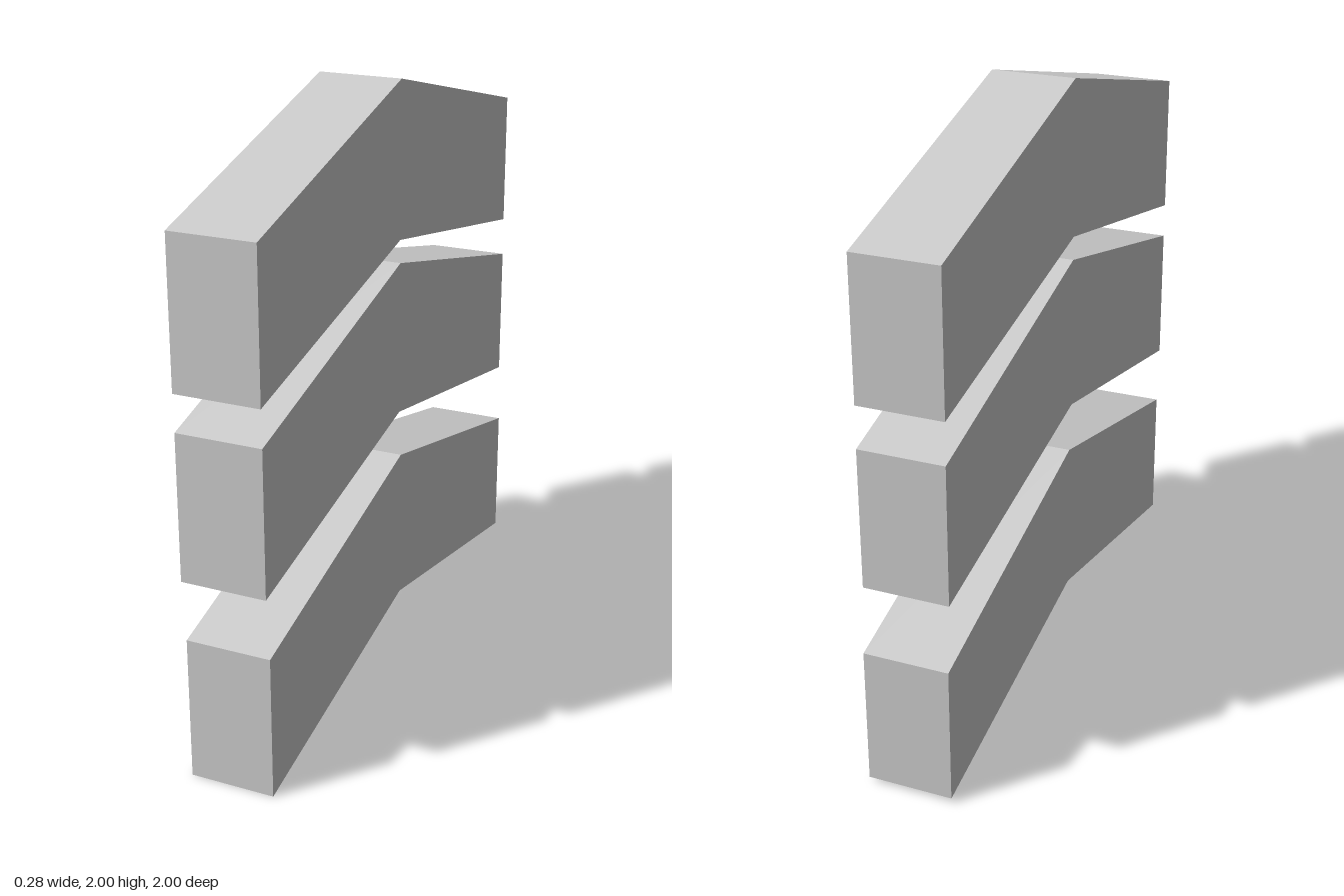
import * as THREE from 'three';

const X_MIN = -0.143, X_MAX = 0.135;

// Bent bar: side profile drawn in (z, y), extruded across x
function chevron(name, z, y) {
  const shape = new THREE.Shape([
    [z, y],
    [z - 0.98, y + 0.211],
    [z - 1.98, y + 0.016],
    [z - 1.98, y + 0.474],
    [z - 0.98, y + 0.727],
    [z, y + 0.474],
  ].map(([a, b]) => new THREE.Vector2(a, b)));
  const geometry = new THREE.ExtrudeGeometry(shape, { depth: X_MAX - X_MIN, bevelEnabled: false });
  geometry.rotateY(-Math.PI / 2);
  geometry.translate(X_MAX, 0, 0);
  const mesh = new THREE.Mesh(geometry, new THREE.MeshStandardMaterial({ color: 0xcccccc, flatShading: true }));
  mesh.name = name;
  return mesh;
}

export function createModel() {
  const group = new THREE.Group();
  group.name = 'stackedChevrons';
  // Three equal bars, each slightly shifted along z
  group.add(
    chevron('lowerChevron', 0.98, 0),
    chevron('middleChevron', 0.997, 0.679),
    chevron('upperChevron', 1.0, 1.273),
  );
  return group;
}
